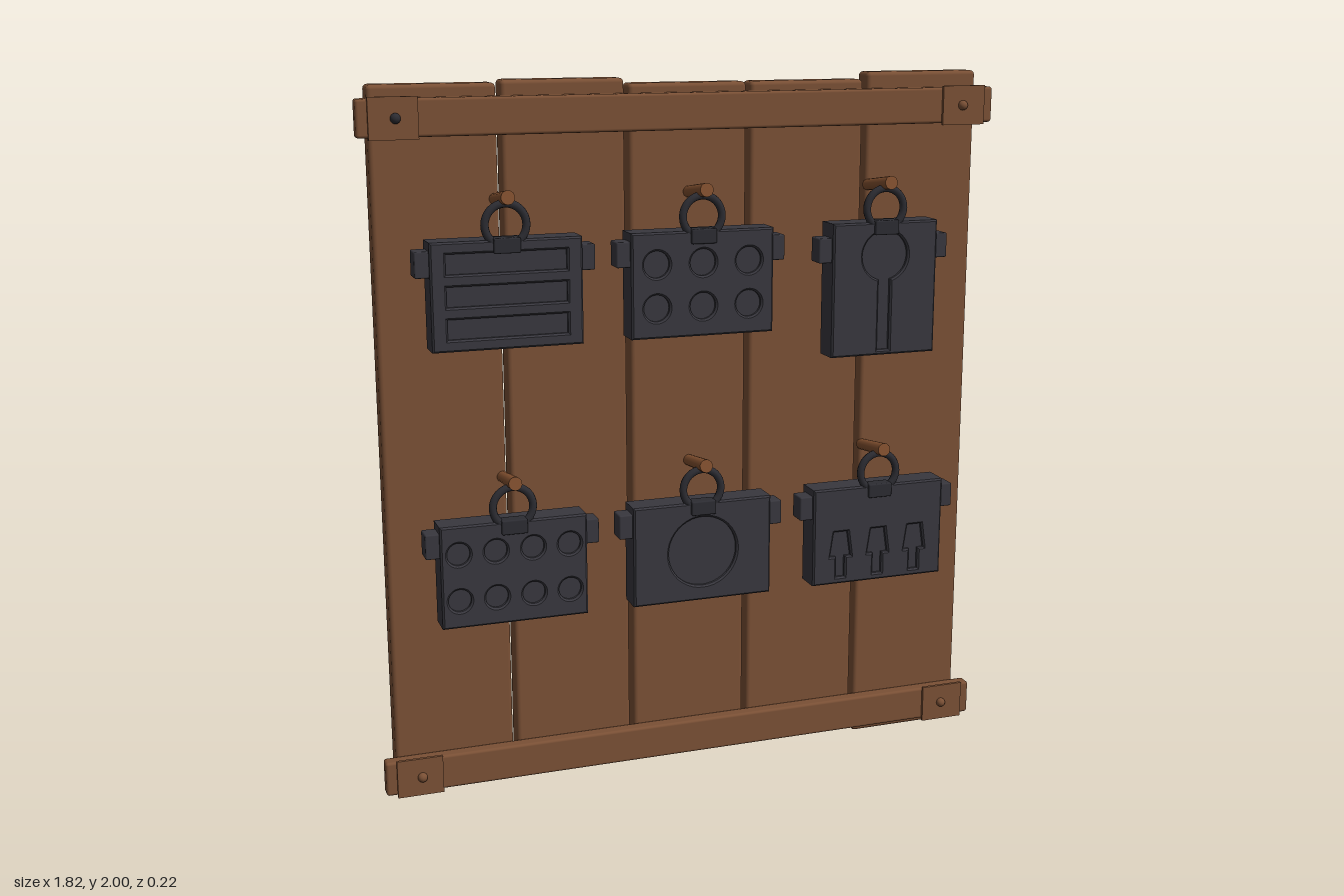
import * as THREE from 'three';
import { RoundedBoxGeometry } from 'three/addons/geometries/RoundedBoxGeometry.js';

const mat = (name, color) => Object.assign(new THREE.MeshStandardMaterial({ color }), { name });

export function createModel() {
  const model = new THREE.Group();
  model.name = 'mouldRack';
  const wood = mat('wood', 0x7a5035);
  const pegWood = mat('pegWood', 0x82502f);
  const iron = mat('iron', 0x38373e);
  const darkIron = mat('darkIron', 0x2c2c32);

  const add = (name, geometry, material, parent = model) => {
    const mesh = new THREE.Mesh(geometry, material);
    mesh.name = name;
    parent.add(mesh);
    return mesh;
  };
  // Softened box given by its limits
  const block = (name, x0, x1, y0, y1, z0, z1, material, r = 0.008, parent = model) => {
    const m = add(name, new RoundedBoxGeometry(x1 - x0, y1 - y0, z1 - z0, 2, r), material, parent);
    m.position.set((x0 + x1) / 2, (y0 + y1) / 2, (z0 + z1) / 2);
    return m;
  };

  // Back planks of slightly uneven length
  const ends = [[0.007, 1.988], [0.01, 1.995], [0.016, 1.98], [0.01, 1.98], [0, 2]];
  ends.forEach(([y0, y1], i) => {
    const x = (i - 2) * 0.352;
    block('plank', x - 0.17, x + 0.17, y0, y1, -0.108, -0.04, wood, 0.012);
  });

  // Cross rails with end plates and nails
  for (const y of [0.078, 1.905]) {
    block('rail', -0.91, 0.91, y - 0.05, y + 0.05, -0.042, 0, wood);
    for (const s of [-1, 1]) {
      const plate = add('endPlate', new THREE.BoxGeometry(0.13, 0.11, 0.009), wood);
      plate.position.set(s * 0.815, y, 0.0045);
      const nail = add('nail', new THREE.SphereGeometry(0.014, 12, 8), s < 0 && y > 1 ? darkIron : wood);
      nail.position.set(s * 0.81, y, 0.012);
    }
  }

  // Outlines of the sunken shapes
  const circle = (x, y, r) => new THREE.Path().absarc(x, y, r, 0, Math.PI * 2, true);
  const poly = pts => new THREE.Path(pts.map(p => new THREE.Vector2(...p)));
  const slot = y => poly([[-0.163, y - 0.027], [-0.163, y + 0.027], [0.163, y + 0.027], [0.163, y - 0.027]]);
  const grid = (xs, ys, r) => xs.flatMap(x => ys.map(y => circle(x, y, r)));
  const ladle = () => {
    const p = new THREE.Path();
    p.moveTo(0.018, -0.175);
    p.lineTo(-0.018, -0.175);
    p.absarc(0, 0.095, 0.07, -Math.PI / 2 - 0.26, -Math.PI / 2 + 0.26, true);
    p.closePath();
    return p;
  };
  const shovel = x => poly([[-0.014, -0.125], [-0.014, -0.062], [-0.033, -0.062], [-0.022, 0.013],
    [0.022, 0.013], [0.033, -0.062], [0.014, -0.062], [0.014, -0.125]].map(([a, b]) => [x + a, b]));

  // One mould block with side lugs, clip, ring and peg
  const mould = (name, x, top, w, h, lugDrop, holes) => {
    const g = new THREE.Group();
    g.name = name;
    g.position.set(x, top - h / 2, 0);
    model.add(g);
    const b = 0.005, hw = w / 2, hh = h / 2;
    const outline = new THREE.Shape([[-hw, -hh], [hw, -hh], [hw, hh], [-hw, hh]].map(p => new THREE.Vector2(...p)));
    outline.holes.push(...holes);
    const body = new THREE.ExtrudeGeometry(outline, {
      depth: 0.085 - 2 * b, bevelThickness: b, bevelSize: b, bevelOffset: -b, bevelSegments: 1, curveSegments: 20
    });
    body.translate(0, 0, b);
    add('mouldBody', body, iron, g);
    // Floor behind the sunken shapes
    add('mouldFloor', new THREE.BoxGeometry(w - 0.012, h - 0.012, 0.073), iron, g).position.z = 0.0355;
    for (const s of [-1, 1]) {
      const lug = add('lug', new RoundedBoxGeometry(0.05, 0.07, 0.058, 1, 0.004), iron, g);
      lug.position.set(s * (hw + 0.013), hh - lugDrop, 0.044);
    }
    block('ringClip', -0.036, 0.036, hh - 0.035, hh + 0.006, 0.055, 0.095, darkIron, 0.004, g);
    add('ring', new THREE.TorusGeometry(0.056, 0.011, 10, 32), darkIron, g).position.set(0, hh + 0.038, 0.075);

    const peg = add('peg', new THREE.CylinderGeometry(0.019, 0.016, 0.16, 14), pegWood);
    peg.position.set(x, top + 0.102, 0.032);
    peg.rotation.x = Math.PI / 2 - 0.13;
  };

  mould('slotMould', -0.545, 1.592, 0.41, 0.29, 0.058, [0.086, 0, -0.086].map(slot));
  mould('sixRoundMould', 0, 1.592, 0.41, 0.29, 0.058, grid([-0.133, 0, 0.133], [0.058, -0.062], 0.037));
  mould('ladleMould', 0.545, 1.592, 0.32, 0.38, 0.075, [ladle()]);
  mould('eightRoundMould', -0.545, 0.825, 0.41, 0.29, 0.055, grid([-0.155, -0.052, 0.052, 0.155], [0.065, -0.067], 0.032));
  mould('discMould', 0, 0.825, 0.41, 0.29, 0.055, [circle(0, 0, 0.102)]);
  mould('shovelMould', 0.545, 0.825, 0.41, 0.29, 0.055, [-0.118, 0, 0.118].map(shovel));

  // Centre the depth
  model.children.forEach(c => { c.position.z -= 0.001; });
  return model;
}
